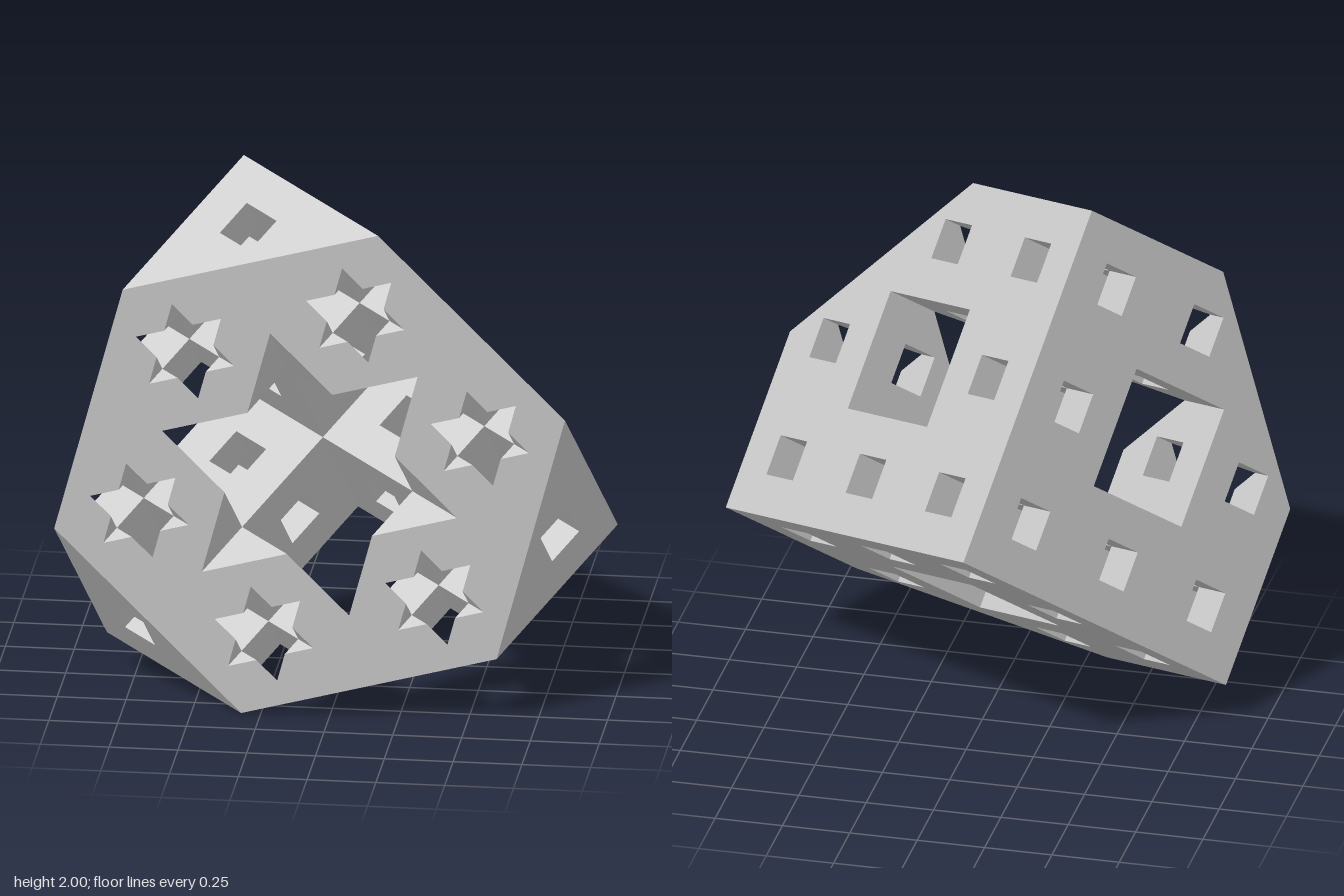
import * as THREE from 'three';

const N = 4;                       // cells run from -4 to 4 along each cube axis
const SIDE = 1.359;                // edge of the full cube
const CELL = SIDE / 9;

// A cell is hollow when two or more of its coordinates are in the middle third, at either scale
const middles = (list) => list.filter((m) => m).length;
function isSolid(c) {
  if (c.some((v) => Math.abs(v) > N)) return false;
  const coarse = c.map((v) => Math.abs(v) <= 1);
  const fine = c.map((v) => (v + 9) % 3 === 0);
  return middles(coarse) < 2 && middles(fine) < 2;
}

const sum = (p) => p[0] + p[1] + p[2];

// Keep the part of a polygon behind the diagonal plane x + y + z = 0
function clip(poly) {
  const out = [];
  poly.forEach((p, i) => {
    const q = poly[(i + 1) % poly.length];
    const a = sum(p), b = sum(q);
    if (a < 0) out.push(p);
    if (a * b < 0) out.push(p.map((v, k) => v + (q[k] - v) * a / (a - b)));
  });
  return out;
}

// One side of a cell, counter-clockwise from outside
function cellSide(c, axis, dir) {
  const b = (axis + 1) % 3, d = (axis + 2) % 3;
  const quad = [[-1, -1], [1, -1], [1, 1], [-1, 1]].map(([s, t]) => {
    const p = [...c];
    p[axis] += dir / 2;
    p[b] += s / 2;
    p[d] += t / 2;
    return p;
  });
  return dir > 0 ? quad : quad.reverse();
}

// Section of a cell by the diagonal plane: a triangle or hexagon
function cellSection(c) {
  const pts = [];
  for (let axis = 0; axis < 3; axis++) {
    for (const s of [-0.5, 0.5]) for (const t of [-0.5, 0.5]) {
      const along = -(sum(c) + s + t);
      if (Math.abs(along) > 0.5) continue;
      const p = [...c];
      p[axis] += along;
      p[(axis + 1) % 3] += s;
      p[(axis + 2) % 3] += t;
      pts.push(p);
    }
  }
  const mid = [0, 1, 2].map((k) => pts.reduce((a, p) => a + p[k], 0) / pts.length);
  const angle = (p) => {
    const [x, y, z] = p.map((v, k) => v - mid[k]);
    return Math.atan2((x + y - 2 * z) / Math.sqrt(6), (x - y) / Math.SQRT2);
  };
  return pts.sort((p, q) => angle(p) - angle(q));
}

function polygonsToMesh(name, polys, material) {
  const pos = [];
  for (const poly of polys) {
    for (let i = 1; i < poly.length - 1; i++) pos.push(...poly[0], ...poly[i], ...poly[i + 1]);
  }
  const geo = new THREE.BufferGeometry();
  geo.setAttribute('position', new THREE.Float32BufferAttribute(pos, 3));
  geo.scale(CELL, CELL, CELL);
  geo.computeVertexNormals();
  const mesh = new THREE.Mesh(geo, material);
  mesh.name = name;
  return mesh;
}

export function createModel() {
  const grey = new THREE.MeshStandardMaterial({ color: 0xc4c4c4 });
  grey.name = 'light grey';

  const outer = [], tunnels = [], cut = [];
  for (let x = -N; x <= N; x++) for (let y = -N; y <= N; y++) for (let z = -N; z <= N; z++) {
    const c = [x, y, z];
    if (!isSolid(c)) continue;
    for (let axis = 0; axis < 3; axis++) for (const dir of [-1, 1]) {
      const next = [...c];
      next[axis] += dir;
      if (isSolid(next)) continue;
      const poly = clip(cellSide(c, axis, dir));
      if (poly.length > 2) (Math.abs(next[axis]) > N ? outer : tunnels).push(poly);
    }
    if (Math.abs(sum(c)) <= 1) cut.push(cellSection(c));
  }

  const sponge = new THREE.Group();
  sponge.name = 'halfSpongeCube';
  sponge.add(
    polygonsToMesh('outerFaces', outer, grey),
    polygonsToMesh('tunnelWalls', tunnels, grey),
    polygonsToMesh('diagonalCutFace', cut, grey),
  );

  // Stand the cube on its diagonal, cut face to the front, turned so the corners lie at 105, 225, 345 degrees
  const axes = [105, 225, 345].map((deg) => {
    const a = THREE.MathUtils.degToRad(deg), r = Math.sqrt(2 / 3);
    return new THREE.Vector3(r * Math.cos(a), r * Math.sin(a), 1 / Math.sqrt(3));
  });
  sponge.quaternion.setFromRotationMatrix(new THREE.Matrix4().makeBasis(...axes));
  // The kept half lies behind the cube centre, so move it forward to centre its depth
  sponge.position.set(-0.072, 0.928, SIDE * Math.sqrt(3) / 4);

  const model = new THREE.Group();
  model.name = 'slicedFractalCube';
  model.add(sponge);
  return model;
}
